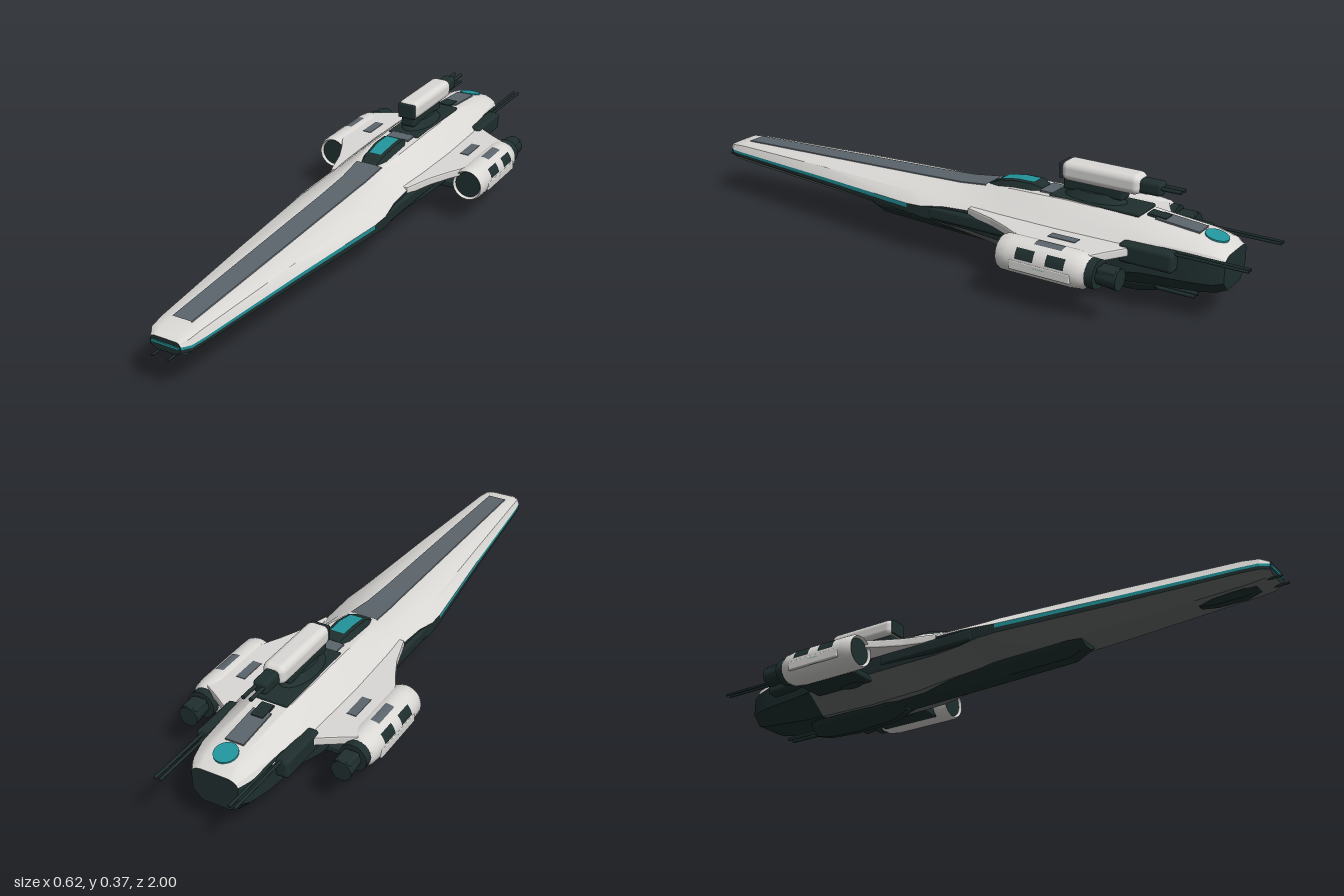
import * as THREE from 'three';
import { toCreasedNormals } from 'three/addons/utils/BufferGeometryUtils.js';
import { RoundedBoxGeometry } from 'three/addons/geometries/RoundedBoxGeometry.js';

export function createModel() {
  const model = new THREE.Group();
  model.name = 'starship';
  const mat = (name, color) => {
    const m = new THREE.MeshStandardMaterial({ color });
    m.name = name;
    return m;
  };
  const white = mat('white plating', 0xdad9d6);
  const gray = mat('underside gray', 0x6a6e6d);
  const slate = mat('slate panel', 0x5c656c);
  const dark = mat('dark machinery', 0x1f2e2e);
  const teal = mat('teal accent', 0x22959c);

  const add = (name, geo, m, x = 0, y = 0, z = 0) => {
    const mesh = new THREE.Mesh(geo, m);
    mesh.name = name;
    mesh.position.set(x, y, z);
    model.add(mesh);
    return mesh;
  };
  const box = (name, m, w, h, d, x, y, z, r = 0) =>
    add(name, r ? new RoundedBoxGeometry(w, h, d, 3, r) : new THREE.BoxGeometry(w, h, d), m, x, y, z);
  const rod = (name, m, r, z0, z1, x, y, r2 = r, n = 10) =>
    add(name, new THREE.CylinderGeometry(r2, r, Math.abs(z1 - z0), n).rotateX(Math.PI / 2), m, x, y, (z0 + z1) / 2);

  // Skin through cross-sections [[x, y, z], ...] ordered front to back
  const skin = (name, m, rows, { closed = false, capFront = false, capBack = false } = {}) => {
    const pos = [], n = rows[0].length;
    const tri = (a, b, c) => pos.push(...a, ...b, ...c);
    for (let i = 0; i < rows.length - 1; i++)
      for (let j = 0; j < (closed ? n : n - 1); j++) {
        const k = (j + 1) % n, a = rows[i][j], b = rows[i][k], c = rows[i + 1][j], d = rows[i + 1][k];
        tri(a, c, b);
        tri(b, c, d);
      }
    const cap = (row, front) => {
      for (let j = 1; j < n - 1; j++) front ? tri(row[0], row[j], row[j + 1]) : tri(row[0], row[j + 1], row[j]);
    };
    if (capFront) cap(rows[0], true);
    if (capBack) cap(rows[rows.length - 1], false);
    const g = new THREE.BufferGeometry();
    g.setAttribute('position', new THREE.Float32BufferAttribute(pos, 3));
    return add(name, toCreasedNormals(g, 0.45), m);
  };

  // Hull stations: z, edge x, white edge y, lower edge y, shoulder x/y, deck x/y, belly x/y
  const stations = [
    [.975, .05, .168, .15, .045, .176, .03, .18, .03, .14],
    [.95, .068, .168, .15, .062, .185, .032, .192, .045, .13],
    [.9, .075, .168, .15, .067, .19, .033, .198, .045, .125],
    [.5, .112, .168, .143, .095, .197, .037, .212, .055, .106],
    [.13, .152, .168, .138, .12, .2, .04, .225, .06, .09],
    [.07, .155, .172, .135, .12, .2, .041, .228, .06, .087],
    [0, .145, .183, .13, .118, .203, .043, .231, .062, .08],
    [-.1, .14, .188, .125, .115, .207, .048, .243, .065, .07],
    [-.2, .148, .186, .12, .12, .209, .06, .257, .07, .056],
    [-.4, .153, .186, .115, .125, .209, .062, .262, .07, .05],
    [-.6, .148, .186, .115, .12, .209, .057, .256, .07, .055],
    [-.68, .125, .195, .12, .113, .212, .053, .25, .062, .062],
    [-.82, .108, .195, .12, .1, .212, .052, .237, .06, .075],
    [-.88, .092, .19, .12, .086, .205, .05, .223, .055, .083],
    [-.91, .075, .183, .125, .07, .193, .045, .203, .045, .095]];
  const mirrored = (pts) => [...pts, ...pts.map(([x, y, z]) => [-x, y, z]).reverse()];
  const upper = ([z, w, u, , sx, sy, tx, ty]) =>
    mirrored([[w, u, z], [sx, sy, z], [(sx + tx) / 2, (sy + ty) / 2 + .002, z], [tx, ty, z]]);
  const lower = ([z, w, , l, , , , , bx, by]) => mirrored([[-w, l, z], [-bx, by, z]]);
  skin('upperHull', white, stations.map(upper));
  skin('belly', gray, stations.slice(0, 11).map(lower));
  skin('rearBelly', dark, stations.slice(10).map(lower));
  const band = (s, t0, t1) => ([z, w, u, l]) => {
    const pts = [[s * w, u + (l - u) * t0, z], [s * w, u + (l - u) * t1, z]];
    return s < 0 ? pts : pts.reverse();
  };
  for (const s of [1, -1]) {
    skin('edgeLight', teal, stations.slice(0, 5).map(band(s, 0, .45)));
    skin('edgeTrim', dark, stations.slice(0, 5).map(band(s, .45, 1)));
    skin('sideTrench', dark, stations.slice(4).map(band(s, 0, 1)));
  }
  // End plates closing the hull
  const loop = (st) => [...upper(st), ...lower(st)];
  const first = stations[0], last = stations[stations.length - 1];
  skin('nosePlate', dark, [loop(first), loop(first)], { capFront: true });
  skin('sternPlate', dark, [loop(last), loop(last)], { capBack: true });
  box('noseLight', teal, .09, .007, .006, 0, .163, .976);

  // Deck stripe, following the deck line
  skin('deckStripe', slate, stations.slice(2, 8).map(([z, , , , , , tx, ty]) =>
    mirrored([[tx, ty - .001, z], [tx - .002, ty + .003, z]])));

  // Cockpit with teal glass
  const cockpit = [[-.09, .03, .236, .24], [-.14, .045, .245, .264], [-.2, .05, .25, .275], [-.26, .048, .25, .276], [-.29, .035, .25, .266]];
  skin('canopyFrame', dark, cockpit.map(([z, w, y0, y1]) => mirrored([[w, y0, z], [w * .7, y1, z]])), { capFront: true, capBack: true });
  skin('canopyGlass', teal, cockpit.slice(1, 4).map(([z, w, , y]) => mirrored([[w * .5, y + .003, z]])));
  box('canopyFairing', slate, .08, .006, .05, 0, .262, -.315);

  // Dorsal recess, rear panels and round marker
  box('dorsalRecess', dark, .11, .012, .3, 0, .26, -.48, .005);
  box('sternPanel', slate, .06, .008, .14, 0, .2455, -.74).rotation.x = -.09;
  box('sternVent', dark, .04, .012, .06, 0, .2525, -.67).rotation.x = -.08;
  const marker = add('sternMarker', new THREE.CylinderGeometry(.036, .036, .007, 20), teal, 0, .231, -.85);
  marker.rotation.x = -.22;

  // Dorsal turret, guns aimed aft
  add('turretRing', new THREE.CylinderGeometry(.036, .055, .03, 20).scale(1, 1, 2), dark, 0, .275, -.46);
  box('turretNeck', dark, .05, .035, .2, 0, .297, -.46, .008);
  box('turretBody', white, .074, .062, .26, 0, .339, -.485, .022);
  box('turretFace', dark, .062, .05, .01, 0, .338, -.354, .004);
  box('turretBreech', dark, .046, .042, .1, 0, .336, -.63, .012);
  for (const x of [-.012, .012]) rod('turretBarrel', dark, .006, -.66, -.74, x, .34);

  // Keel and ventral turret
  const vee = ([z, w, y0, y1]) => [[-w, y0, z], [-w * .85, y0 * .6 + y1 * .4, z], [-w * .35, y1, z],
    [w * .35, y1, z], [w * .85, y0 * .6 + y1 * .4, z], [w, y0, z]];
  skin('keel', dark, [[.37, .045, .104, .085], [.32, .058, .1, .058], [.1, .064, .092, .052], [-.3, .07, .075, .042],
    [-.58, .068, .075, .045], [-.68, .045, .08, .062]].map(vee), { closed: true, capFront: true, capBack: true });
  skin('ventralTurret', dark, [[-.3, .045, .06, .035], [-.35, .062, .065, .008], [-.5, .062, .065, 0], [-.62, .055, .065, .006],
    [-.68, .035, .06, .022]].map(([z, w, a, b]) => vee([z, w, a, b]).map(([x, y, q]) => [y === b ? x * .4 : x, y, q])),
  { closed: true, capFront: true, capBack: true });
  for (const x of [-.012, .012]) rod('ventralBarrel', dark, .006, -.62, -.8, x, .033);

  // Chin sensor
  skin('chinSensor', dark, [[.92, .028, .132, .122], [.88, .035, .132, .108], [.79, .035, .13, .108], [.74, .025, .13, .115]].map(vee),
    { closed: true, capFront: true, capBack: true });

  const podProfile = [[.043, .148], [.05, .16], [.055, .15], [.056, .12], [.056, -.08], [.052, -.115], [.04, -.135], [0, -.135]]
    .map(([r, z]) => new THREE.Vector2(r, z)).reverse();
  const wingOutline = [[.11, -.1], [.138, -.1], [.168, -.2], [.2, -.27], [.238, -.34], [.255, -.4], [.25, -.58], [.205, -.605], [.15, -.64], [.125, -.68], [.1, -.66]];
  for (const s of [1, -1]) {
    // Wing plate and lower strut, leaving a gap beside the hull
    const shape = new THREE.Shape(wingOutline.map(([x, z]) => new THREE.Vector2(s * x, -z)));
    const wing = new THREE.ExtrudeGeometry(shape, { depth: .016, bevelEnabled: true, bevelSize: .004, bevelThickness: .006, bevelSegments: 2 });
    add('wing', wing.rotateX(-Math.PI / 2), white, 0, .176, 0);
    box('wingUnderside', dark, .1, .008, .24, s * .185, .167, -.46);
    box('lowerStrut', dark, .1, .024, .22, s * .18, .109, -.46, .006);
    box('podMount', dark, .02, .07, .22, s * .208, .14, -.46, .005);
    add('strutBulb', new THREE.SphereGeometry(.016, 12, 8).scale(1, .8, 3), dark, s * .145, .1, -.42);
    box('wingPanel', slate, .03, .006, .09, s * .188, .197, -.46);

    // Engine pod
    const px = s * .255, py = .147, pz = -.46;
    add('enginePod', toCreasedNormals(new THREE.LatheGeometry(podProfile, 28).rotateX(Math.PI / 2), .7), white, px, py, pz);
    rod('podIntake', dark, .044, pz + .14, pz + .152, px, py, .044, 28);
    rod('podCollar', dark, .044, -.58, -.615, px, py, .044, 20);
    rod('podNozzle', dark, .032, -.6, -.68, px, py, .026, 14);
    box('nozzleBlock', dark, .05, .04, .06, px, py + .01, -.645, .008);
    const patch = (name, m, angle, span, z, len) => {
      const a = s > 0 ? angle : Math.PI * 2 - angle;
      add(name, new THREE.CylinderGeometry(.0575, .0575, len, 8, 1, true, a - span / 2, span).rotateX(Math.PI / 2), m, px, py, z);
    };
    patch('podTopPanel', slate, Math.PI * .95, .5, -.46, .09);
    patch('podSidePanel', dark, Math.PI * .65, .6, -.4, .06);
    patch('podSidePanel', dark, Math.PI * .65, .6, -.5, .06);
    patch('podLight', teal, Math.PI * .4, .4, -.45, .04);
    box('podRail', white, .012, .03, .2, s * .306, .135, -.45, .004);

    // Aft guns and flank machinery
    box('flankPod', dark, .045, .06, .17, s * .128, .178, -.7, .012);
    box('flankBlister', dark, .03, .045, .36, s * .138, .155, -.13, .012);
    for (const x of [.11, .127]) rod('aftGun', dark, .0045, -.7, -1, s * x, .203, .0045, 8);
    // Nose prong
    rod('noseProng', dark, .0035, .88, 1, s * .026, .135, .0035, 8);
  }
  return model;
}
